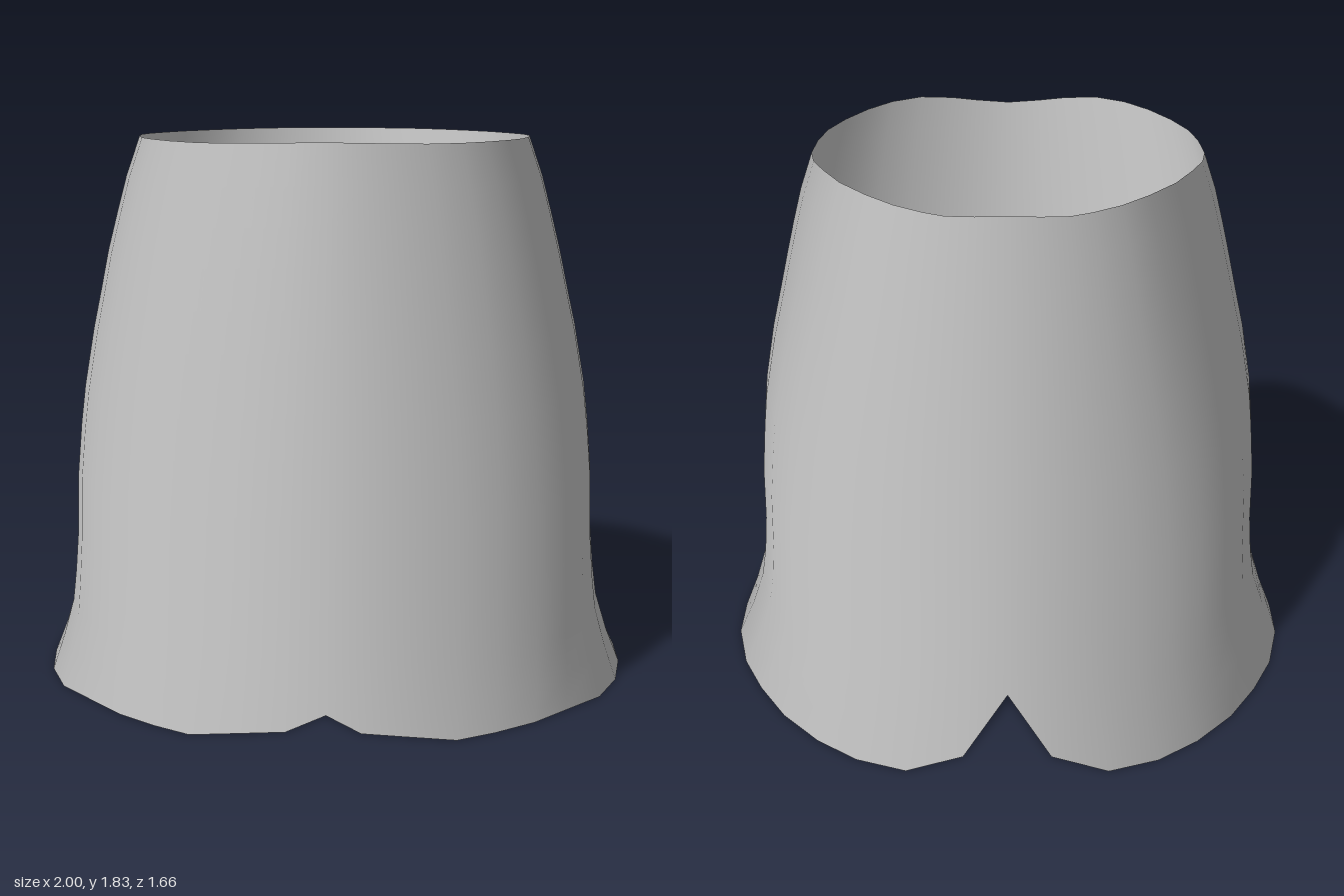
import * as THREE from 'three';

// Half outlines [x, z], from centre back round to centre front
const HEM = [[0, -0.44], [0.15, -0.76], [0.34, -0.83], [0.51, -0.775], [0.65, -0.68], [0.78, -0.55],
  [0.88, -0.4], [0.955, -0.25], [1, -0.07], [1, 0.1], [0.97, 0.28], [0.9, 0.44], [0.78, 0.56],
  [0.67, 0.67], [0.54, 0.76], [0.42, 0.825], [0.27, 0.808], [0.12, 0.79], [0, 0.65]];
const HIP = [[0, -0.44], [0.12, -0.6], [0.27, -0.633], [0.42, -0.64], [0.54, -0.59], [0.65, -0.505],
  [0.74, -0.4], [0.82, -0.25], [0.87, -0.06], [0.885, 0.1], [0.87, 0.26], [0.83, 0.4], [0.77, 0.51],
  [0.67, 0.65], [0.55, 0.755], [0.42, 0.825], [0.27, 0.81], [0.12, 0.79], [0, 0.635]];
const WAIST = [[0, -0.415], [0.1, -0.42], [0.19, -0.415], [0.26, -0.385], [0.35, -0.33], [0.44, -0.25],
  [0.53, -0.15], [0.59, -0.05], [0.63, 0.03], [0.645, 0.11], [0.635, 0.22], [0.61, 0.32], [0.56, 0.42],
  [0.49, 0.52], [0.41, 0.6], [0.31, 0.65], [0.2, 0.643], [0.11, 0.617], [0, 0.595]];

// Rings: height, half width, back z, front z, shape (0 hem, 1 hip, 2 waist)
const RINGS = [
  [0, 1, -0.83, 0.825, 0], [0.12, 0.952, -0.72, 0.827, 0.45], [0.25, 0.912, -0.675, 0.828, 0.75],
  [0.36, 0.897, -0.64, 0.828, 0.9], [0.5, 0.885, -0.635, 0.828, 1], [0.7, 0.88, -0.622, 0.81, 1.1],
  [0.87, 0.865, -0.605, 0.79, 1.2], [1, 0.85, -0.6, 0.772, 1.3], [1.2, 0.813, -0.555, 0.752, 1.5],
  [1.33, 0.782, -0.51, 0.745, 1.65], [1.46, 0.752, -0.455, 0.735, 1.82], [1.58, 0.722, -0.45, 0.71, 1.9],
  [1.7, 0.69, -0.432, 0.682, 1.95], [1.83, 0.645, -0.42, 0.65, 2],
];

const lerp = THREE.MathUtils.lerp;

// Scale an outline to x 0..1 and z 0 (back) to 1 (front)
function unitOutline(points) {
  const width = Math.max(...points.map((p) => p[0]));
  const back = Math.min(...points.map((p) => p[1]));
  const front = Math.max(...points.map((p) => p[1]));
  return points.map(([x, z]) => [x / width, (z - back) / (front - back)]);
}
const SHAPES = [HEM, HIP, WAIST].map(unitOutline);

// One full ring: blended half outline plus its mirror image
function ringPoints([y, width, back, front, shape]) {
  const lower = Math.min(Math.floor(shape), 1);
  const t = shape - lower;
  const half = SHAPES[lower].map(([ax, az], i) => {
    const [bx, bz] = SHAPES[lower + 1][i];
    return [width * lerp(ax, bx, t), y, lerp(back, front, lerp(az, bz, t))];
  });
  // Valleys of the back and front pleats run almost straight up
  half[0][2] = lerp(-0.44, -0.415, y / 1.83);
  half[half.length - 1][2] = lerp(0.65, 0.595, y / 1.83);
  const mirror = half.slice(1, -1).reverse().map(([x, py, z]) => [-x, py, z]);
  return [...half, ...mirror];
}

function skirtGeometry() {
  const rings = RINGS.map(ringPoints);
  const n = rings[0].length;
  const index = [];
  for (let r = 0; r < rings.length - 1; r++) {
    for (let j = 0; j < n; j++) {
      const k = (j + 1) % n;
      const a = r * n + j, b = r * n + k, c = a + n, d = b + n;
      index.push(a, c, b, b, c, d);
    }
  }
  // Soft, level shading that runs round the skirt like a cylinder
  const v = new THREE.Vector3();
  const normals = rings.flatMap((ring, r) => {
    const [, width, back, front] = RINGS[r];
    return ring.flatMap(([x, , z]) => v
      .set(x / width, 0, (2 * z - back - front) / (front - back)).normalize().toArray());
  });
  const geometry = new THREE.BufferGeometry();
  geometry.setAttribute('position', new THREE.Float32BufferAttribute(rings.flat(2), 3));
  geometry.setAttribute('normal', new THREE.Float32BufferAttribute(normals, 3));
  geometry.setIndex(index);
  return geometry;
}

export function createModel() {
  const cloth = new THREE.MeshStandardMaterial({ color: 0xd0d0d0, side: THREE.DoubleSide });
  cloth.name = 'light grey cloth';
  const skirt = new THREE.Mesh(skirtGeometry(), cloth);
  skirt.name = 'skirt';
  const group = new THREE.Group();
  group.name = 'pleatedSkirt';
  group.add(skirt);
  return group;
}
